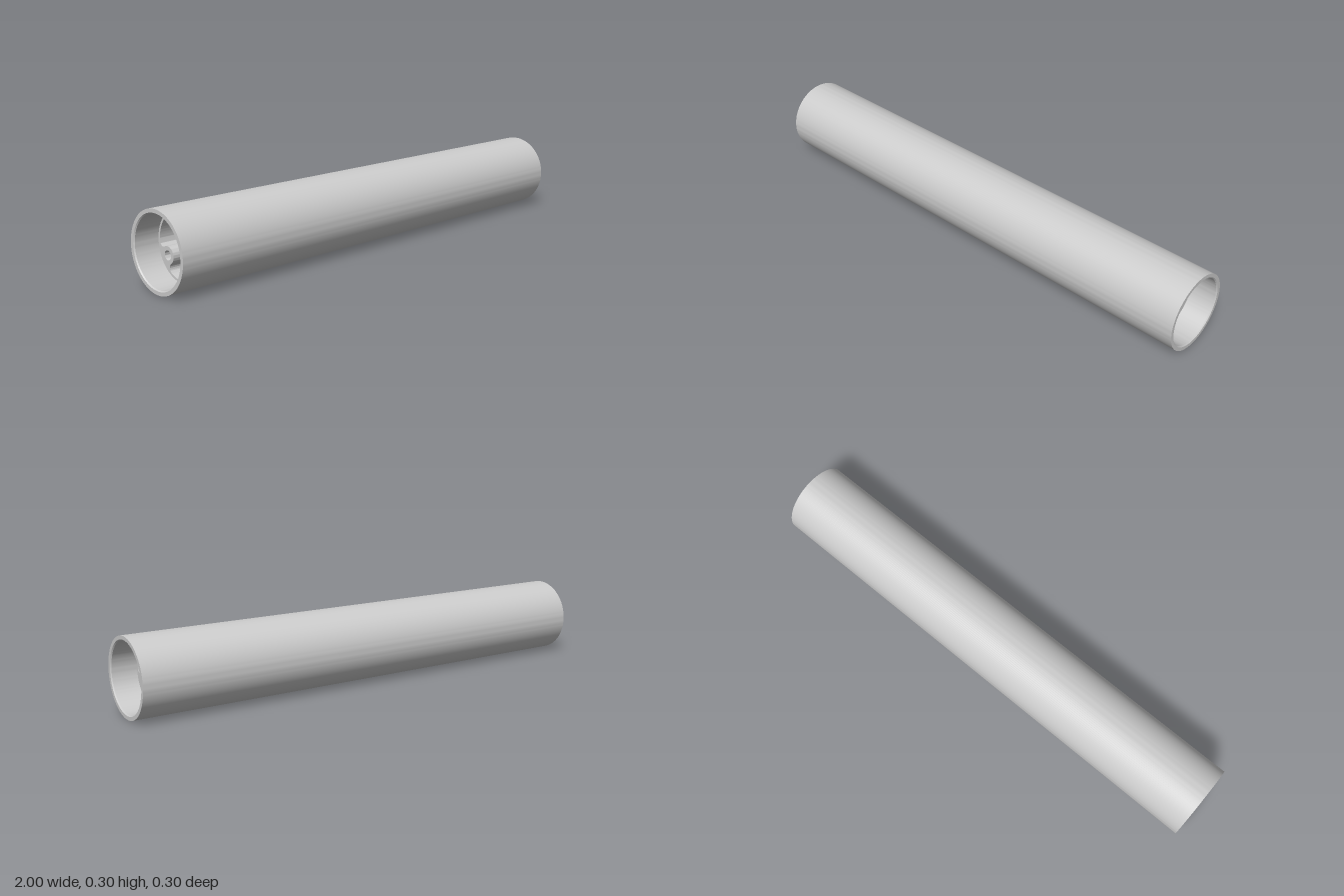
import * as THREE from 'three';
import { toCreasedNormals } from 'three/addons/utils/BufferGeometryUtils.js';

const OUTER = 0.149;      // tube radius
const BORE = 0.131;       // radius of the recess at each end
const LIP = 0.135;        // chamfered mouth of the recess
const DEPTH = 0.1;        // depth of the recess
const OPENING = 0.1227;   // radius of the central opening
const BOSS = 0.033;       // screw boss radius
const BOSS_AT = 0.092;    // boss distance from the axis
const HOLE = 0.018;       // screw hole radius
const FILLET = 0.0187;    // rounding between boss and wall

const bossAngles = [0, 1, 2].map((k) => Math.PI / 2 + (k * Math.PI * 2) / 3);

// Opening outline: wall arcs, joined to the bosses by rounded corners
function openingPath() {
  const path = new THREE.Path();
  const reach = OPENING - FILLET;
  const gap = BOSS + FILLET;
  const t = Math.acos((reach ** 2 + BOSS_AT ** 2 - gap ** 2) / (2 * reach * BOSS_AT));
  const at = (r, a) => new THREE.Vector2(r * Math.cos(a), r * Math.sin(a));
  const step = (Math.PI * 2) / 3;
  for (const a of bossAngles) {
    const next = a + step;
    const boss = at(BOSS_AT, next);
    const before = at(reach, next - t);
    const after = at(reach, next + t);
    const toBoss = boss.clone().sub(before).angle();
    const fromBoss = boss.clone().sub(after).angle();
    path.absarc(0, 0, OPENING, a + t, next - t, false);
    path.absarc(before.x, before.y, FILLET, next - t, toBoss, false);
    path.absarc(boss.x, boss.y, BOSS, toBoss + Math.PI, fromBoss + Math.PI, true);
    path.absarc(after.x, after.y, FILLET, fromBoss, next + t, false);
  }
  return path;
}

export function createModel() {
  const model = new THREE.Group();
  model.name = 'tubeHousing';
  const material = new THREE.MeshStandardMaterial({ color: 0xcccccc });

  const add = (name, geometry) => {
    const mesh = new THREE.Mesh(toCreasedNormals(geometry, 0.5), material);
    mesh.name = name;
    mesh.position.y = OUTER;
    model.add(mesh);
  };

  // Outer tube with a recess at both ends
  const c = LIP - BORE;
  const half = [[OUTER, 1], [LIP, 1], [BORE, 1 - c], [BORE, 1 - DEPTH]];
  const profile = [
    ...half.map(([r, y]) => new THREE.Vector2(r, -y)).reverse(),
    ...half.map(([r, y]) => new THREE.Vector2(r, y)),
  ];
  add('outerTube', new THREE.LatheGeometry(profile, 128).rotateZ(-Math.PI / 2));

  // Inner core with three screw bosses running through
  const section = new THREE.Shape();
  section.absarc(0, 0, BORE + 0.002, 0, Math.PI * 2, false);
  section.holes.push(openingPath());
  for (const a of bossAngles) {
    const hole = new THREE.Path();
    hole.absarc(BOSS_AT * Math.cos(a), BOSS_AT * Math.sin(a), HOLE, 0, Math.PI * 2, true);
    section.holes.push(hole);
  }
  const length = 2 * (1 - DEPTH);
  const core = new THREE.ExtrudeGeometry(section, { depth: length, bevelEnabled: false, curveSegments: 24 });
  core.translate(0, 0, -length / 2).rotateY(Math.PI / 2);
  add('bossedCore', core);

  return model;
}
